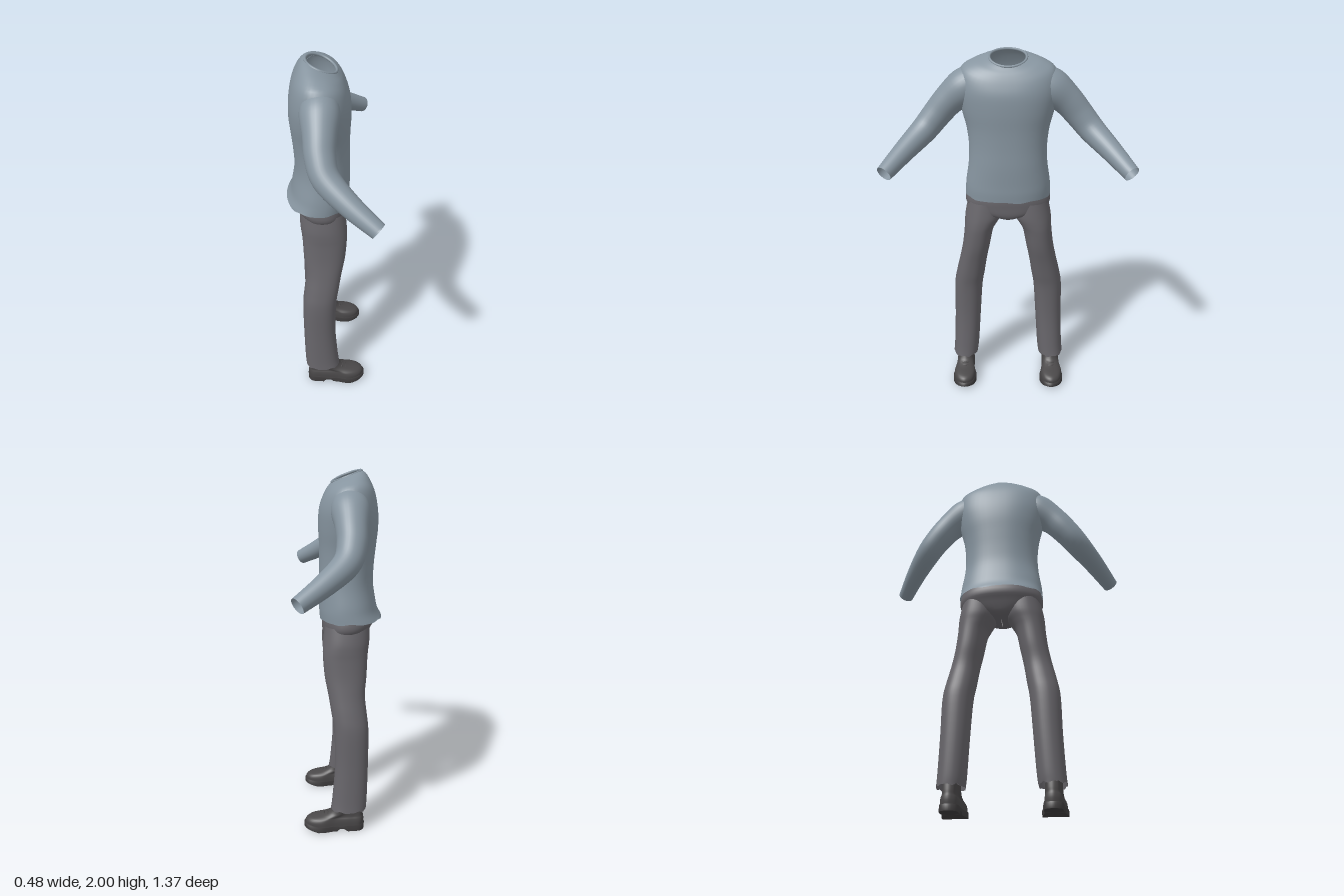
import * as THREE from 'three';

const flat = (name, color) => {
  const m = new THREE.MeshStandardMaterial({ color, side: THREE.DoubleSide });
  m.name = name;
  return m;
};

// Catmull-Rom through rows of numbers, so a few key sections give a smooth loft
function smooth(rows, steps) {
  const out = [], last = rows.length - 1;
  const at = i => rows[Math.max(0, Math.min(last, i))];
  for (let i = 0; i < last; i++)
    for (let s = 0; s < steps; s++) {
      const t = s / steps, a = at(i - 1), b = at(i), c = at(i + 1), d = at(i + 2);
      out.push(b.map((_, k) => 0.5 * (2 * b[k] + (c[k] - a[k]) * t
        + (2 * a[k] - 5 * b[k] + 4 * c[k] - d[k]) * t * t
        + (3 * b[k] - a[k] - 3 * c[k] + d[k]) * t * t * t)));
    }
  out.push(rows[last]);
  return out;
}

// Skin a list of closed rings of Vector3
function loft(rings, capTop = false) {
  const n = rings[0].length, pos = [], idx = [];
  rings.forEach(r => r.forEach(p => pos.push(p.x, p.y, p.z)));
  for (let i = 0; i < rings.length - 1; i++)
    for (let j = 0; j < n; j++) {
      const a = i * n + j, b = i * n + (j + 1) % n;
      idx.push(a, a + n, b, b, a + n, b + n);
    }
  if (capTop) {
    const o = (rings.length - 1) * n;
    for (let j = 1; j < n - 1; j++) idx.push(o, o + j + 1, o + j);
  }
  const g = new THREE.BufferGeometry();
  g.setAttribute('position', new THREE.Float32BufferAttribute(pos, 3));
  g.setIndex(idx);
  g.computeVertexNormals();
  return g;
}

// Superellipse ring; tilt slopes it front to back, lift raises its sides
function ring([y, xc, rx, zc, rz, tilt = 0, lift = 0], wave = 0, n = 48, e = 2.25) {
  const pw = v => Math.sign(v) * Math.pow(Math.abs(v), 2 / e);
  return Array.from({ length: n }, (_, j) => {
    const t = j / n * Math.PI * 2, c = pw(Math.cos(t)), s = pw(Math.sin(t));
    const w = wave * (Math.sin(7 * t) + 0.6 * Math.sin(12 * t + 1));
    return new THREE.Vector3(xc + rx * c, y + tilt * rx * c + lift * s * s + w, zc + rz * s);
  });
}

const body = (rows, steps, wave) =>
  loft(smooth(rows, steps).map((r, i) => ring(r, i === 0 ? wave : 0)));

// Mirror to the other side, keeping faces outward
function mirrored(geo) {
  const g = geo.clone().scale(1, 1, -1);
  const src = Array.from(g.index.array);
  for (let i = 0; i < src.length; i += 3) [src[i + 1], src[i + 2]] = [src[i + 2], src[i + 1]];
  g.setIndex(src);
  return g;
}

export function createModel() {
  const root = new THREE.Group();
  root.name = 'outfit';
  const shirt = flat('blue grey knit', 0x8795a0);
  const cloth = flat('charcoal cloth', 0x67656a);
  const leather = flat('dark leather', 0x4a4849);
  const rubber = flat('sole rubber', 0x3f3d3e);
  const add = (name, geo, mat) => {
    const m = new THREE.Mesh(geo, mat);
    m.name = name;
    root.add(m);
  };
  // The model faces +x, so its two sides mirror across z
  const pair = (name, geo, mat) => {
    add(name + 'A', geo, mat);
    add(name + 'B', mirrored(geo), mat);
  };

  // Sweater body: y, x centre, half depth, z centre, half width, tilt, lift
  add('sweaterBody', body([
    [1.207, -0.068, 0.172, 0, 0.240, -0.02, 0],
    [1.25, -0.056, 0.163, 0, 0.237, 0, 0],
    [1.30, -0.050, 0.157, 0, 0.232, 0, 0],
    [1.40, -0.042, 0.150, 0, 0.217, 0, 0],
    [1.50, -0.045, 0.150, 0, 0.214, 0, 0],
    [1.60, -0.050, 0.155, 0, 0.225, 0, 0],
    [1.70, -0.053, 0.162, 0, 0.250, 0, 0],
    [1.79, -0.054, 0.159, 0, 0.268, 0, 0.02],
    [1.865, -0.055, 0.142, 0, 0.250, -0.1, 0.045],
    [1.92, -0.053, 0.118, 0, 0.190, -0.2, 0.03],
    [1.952, -0.049, 0.096, 0, 0.128, -0.33, 0.015],
    [1.967, -0.045, 0.078, 0, 0.097, -0.38, 0.005],
  ], 4, 0.003), shirt);

  // Neck band
  const neck = new THREE.CatmullRomCurve3(ring([1.965, -0.045, 0.079, 0, 0.098, -0.38, 0.005], 0, 24, 2), true);
  add('neckBand', new THREE.TubeGeometry(neck, 64, 0.007, 8, true), shirt);

  // Sleeves: x, y, z, radius along the arm
  const arm = smooth([
    [-0.055, 1.845, 0.17, 0.092],
    [-0.055, 1.805, 0.235, 0.100],
    [-0.057, 1.740, 0.315, 0.084],
    [-0.055, 1.660, 0.385, 0.077],
    [-0.025, 1.580, 0.455, 0.071],
    [0.080, 1.500, 0.550, 0.058],
    [0.212, 1.420, 0.645, 0.044],
  ], 5);
  const centres = arm.map(a => new THREE.Vector3(a[0], a[1], a[2]));
  pair('sleeve', loft(arm.map((a, i) => {
    const T = centres[Math.min(i + 1, arm.length - 1)].clone().sub(centres[Math.max(i - 1, 0)]).normalize();
    const U = new THREE.Vector3(1, 0, 0).addScaledVector(T, -T.x).normalize();
    const V = U.clone().cross(T);
    return Array.from({ length: 32 }, (_, j) => {
      const t = j / 32 * Math.PI * 2;
      return centres[i].clone().addScaledVector(U, a[3] * Math.cos(t)).addScaledVector(V, a[3] * Math.sin(t));
    });
  })), shirt);

  // Trouser seat, closing in at the crotch
  add('trouserSeat', body([
    [1.076, -0.030, 0.050, 0, 0.002],
    [1.080, -0.030, 0.080, 0, 0.020],
    [1.093, -0.035, 0.112, 0, 0.090],
    [1.120, -0.038, 0.127, 0, 0.195],
    [1.160, -0.046, 0.137, 0, 0.235],
    [1.200, -0.055, 0.147, 0, 0.238],
    [1.250, -0.055, 0.140, 0, 0.225],
  ], 3, 0), cloth);

  // Trouser legs
  pair('trouserLeg', body([
    [0.130, -0.050, 0.100, 0.265, 0.075],
    [0.200, -0.057, 0.098, 0.258, 0.076],
    [0.400, -0.067, 0.093, 0.247, 0.078],
    [0.600, -0.065, 0.096, 0.238, 0.083],
    [0.700, -0.053, 0.098, 0.222, 0.083],
    [0.800, -0.040, 0.101, 0.203, 0.079],
    [0.900, -0.035, 0.115, 0.183, 0.079],
    [1.000, -0.033, 0.122, 0.167, 0.083],
    [1.050, -0.035, 0.125, 0.152, 0.095],
    [1.100, -0.040, 0.127, 0.135, 0.107],
    [1.180, -0.045, 0.122, 0.125, 0.100],
  ], 4, 0.004), cloth);

  // Shoe outline seen from above: x, z offset
  const footZ = 0.265;
  const outline = new THREE.CatmullRomCurve3([
    [0.205, 0], [0.180, 0.045], [0.110, 0.070], [0.030, 0.056], [-0.060, 0.050], [-0.120, 0.040],
    [-0.140, 0], [-0.120, -0.040], [-0.060, -0.048], [0.030, -0.052], [0.110, -0.066], [0.180, -0.045],
  ].map(([x, z]) => new THREE.Vector3(x, 0, z)), true).getPoints(72).slice(0, 72);

  // Sole with raised arch and toe spring
  const soleBottom = x => x > 0.11 ? (x - 0.11) * 0.2 : (x > -0.035 && x < 0.015 ? 0.018 : (x < -0.035 ? 0 : 0.004));
  const soleRing = (y, k) => outline.map(p =>
    new THREE.Vector3(p.x * k, y === 0 ? soleBottom(p.x) : y + Math.max(0, p.x - 0.12) * 0.1, footZ + p.z * k * 1.04));
  pair('shoeSole', loft([soleRing(0, 0.02), soleRing(0, 0.97), soleRing(0, 1), soleRing(0.034, 1), soleRing(0.036, 0.9)], true), rubber);

  // Shoe upper: y, heel x, toe x, width scale
  const upper = smooth([
    [0.030, -0.134, 0.196, 0.95],
    [0.055, -0.137, 0.198, 0.95],
    [0.073, -0.136, 0.182, 0.88],
    [0.083, -0.134, 0.148, 0.78],
    [0.092, -0.132, 0.105, 0.73],
    [0.110, -0.130, 0.060, 0.70],
    [0.150, -0.124, 0.035, 0.68],
  ], 3);
  pair('shoeUpper', loft(upper.map(([y, x0, x1, k]) => outline.map(p =>
    new THREE.Vector3(x0 + (p.x + 0.14) / 0.345 * (x1 - x0), y, footZ + p.z * k)))), leather);

  // Laces across the instep
  for (let i = 0; i < 3; i++) {
    const x = 0.052 + i * 0.019, y = 0.115 - i * 0.009;
    const lace = new THREE.QuadraticBezierCurve3(
      new THREE.Vector3(x - 0.012, y - 0.012, footZ - 0.032),
      new THREE.Vector3(x + 0.012, y + 0.010, footZ),
      new THREE.Vector3(x - 0.012, y - 0.012, footZ + 0.032));
    pair('shoeLace' + (i + 1), new THREE.TubeGeometry(lace, 10, 0.004, 6), leather);
  }
  return root;
}
